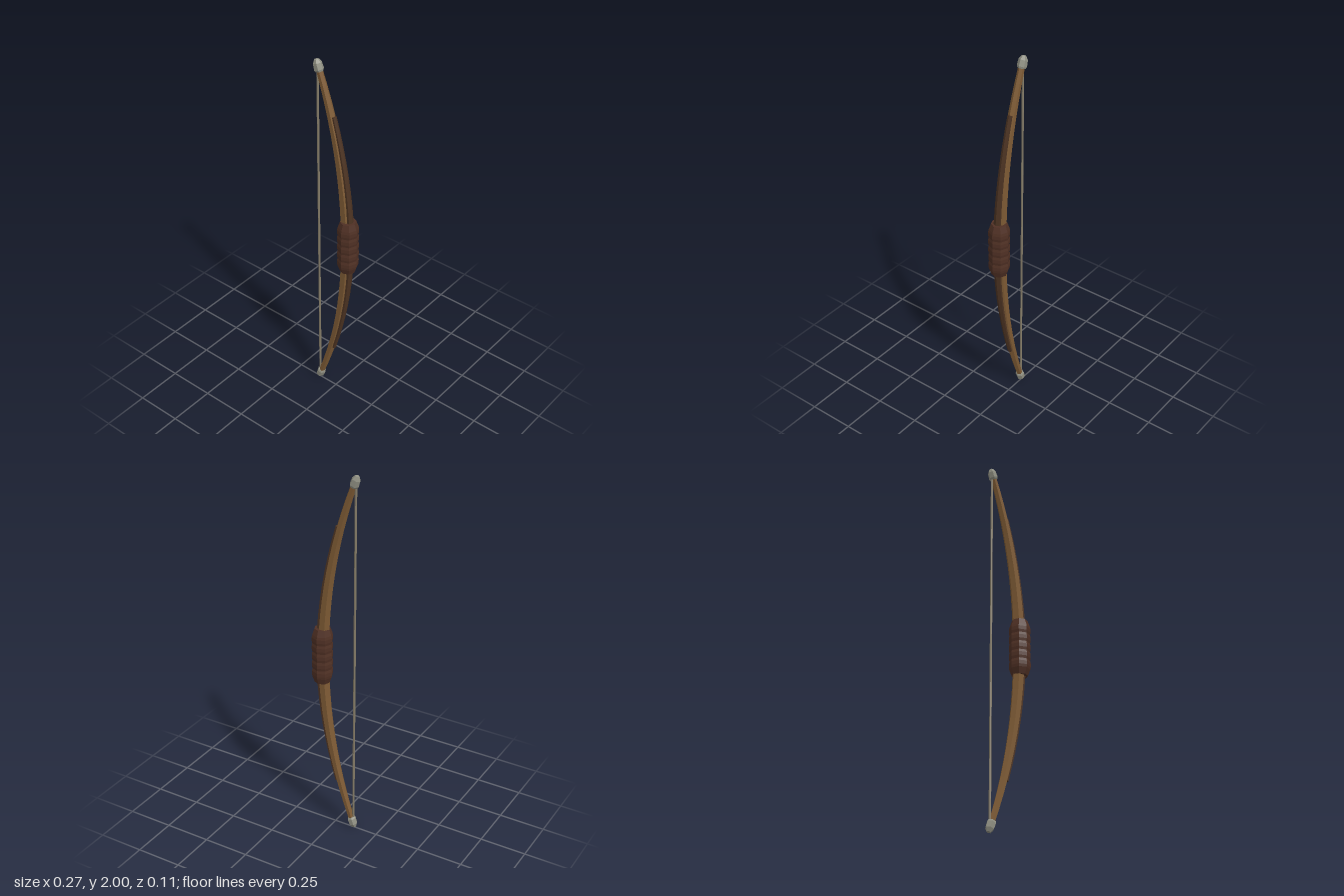
import * as THREE from 'three';

const paint = (color) => new THREE.MeshStandardMaterial({ color, flatShading: true });

// Curve of the bow, u = height above the grip centre
const TIP = 0.95;
const bowX = (u) => 0.071 - 0.19 * u * u;
const limbRadius = (u) => 0.032 - 0.016 * Math.pow(Math.abs(u) / TIP, 1.3);

// Sweep a polygon section along the bow; section(u) gives { offset, rx, rz }
function sweepAlongBow(u0, u1, steps, sides, section) {
  const pos = [], idx = [];
  for (let i = 0; i <= steps; i++) {
    const u = u0 + ((u1 - u0) * i) / steps;
    const normal = new THREE.Vector2(1, 0.38 * u).normalize();
    const { offset, rx, rz } = section(u);
    for (let j = 0; j < sides; j++) {
      const a = (j / sides) * Math.PI * 2;
      const d = offset + rx * Math.cos(a);
      pos.push(bowX(u) + normal.x * d, 1 + u + normal.y * d, rz * Math.sin(a));
    }
  }
  for (let i = 0; i < steps; i++) {
    for (let j = 0; j < sides; j++) {
      const k = (j + 1) % sides;
      const a = i * sides + j, b = i * sides + k;
      idx.push(a, a + sides, b, b, a + sides, b + sides);
    }
  }
  // End caps
  const top = steps * sides;
  for (let j = 1; j < sides - 1; j++) idx.push(0, j, j + 1, top, top + j + 1, top + j);
  const geo = new THREE.BufferGeometry();
  geo.setAttribute('position', new THREE.Float32BufferAttribute(pos, 3));
  geo.setIndex(idx);
  geo.computeVertexNormals();
  return geo;
}

export function createModel() {
  const bow = new THREE.Group();
  bow.name = 'bow';
  const add = (name, geo, material) => {
    const mesh = new THREE.Mesh(geo, material);
    mesh.name = name;
    bow.add(mesh);
    return mesh;
  };
  const wood = paint(0x7d5a34), darkWood = paint(0x4c3322);
  const leather = paint(0x4f3024), horn = paint(0x8f8f82), cord = paint(0x857c68);

  // Tapered hexagonal limbs
  add('limbs', sweepAlongBow(-TIP, TIP, 24, 6, (u) => {
    const r = limbRadius(u);
    return { offset: 0, rx: r, rz: r };
  }), wood);

  // Dark backing strip on the outer side
  add('backingStrip', sweepAlongBow(-0.72, 0.72, 18, 6, (u) => {
    const t = Math.abs(u) / 0.72;
    return { offset: limbRadius(u) * 0.8, rx: 0.016 - 0.005 * t, rz: 0.023 - 0.009 * t };
  }), darkWood);

  // Octagonal leather grip with wrapped ridges
  const profile = [[0, -0.153], [0.041, -0.153], [0.053, -0.12]];
  const wraps = 5, pitch = 0.24 / wraps;
  for (let i = 0; i < wraps; i++) {
    const y = -0.12 + i * pitch;
    profile.push([0.0555, y + pitch * 0.3], [0.0555, y + pitch * 0.7], [0.0525, y + pitch]);
  }
  profile.push([0.041, 0.153], [0, 0.153]);
  const grip = add('grip', new THREE.LatheGeometry(profile.map(([r, y]) => new THREE.Vector2(r, y)), 8), leather);
  grip.position.set(0.078, 1.003, 0);

  // Horn nocks, mirrored top and bottom
  const nockProfile = [[0, -0.03], [0.02, -0.03], [0.0245, -0.02], [0.0225, 0.012], [0.011, 0.031], [0, 0.031]]
    .map(([r, y]) => new THREE.Vector2(r, y));
  for (const s of [1, -1]) {
    const geo = new THREE.LatheGeometry(nockProfile, 6);
    geo.rotateY(Math.PI / 6);
    const nock = add(s > 0 ? 'upperNock' : 'lowerNock', geo, horn);
    nock.position.set(-0.107, 1 + s * 0.967, 0);
    nock.rotation.z = s > 0 ? 0.34 : Math.PI - 0.34;
  }

  // Bowstring
  const string = add('bowstring', new THREE.CylinderGeometry(0.006, 0.006, 1.93, 6), cord);
  string.position.set(-0.11, 1, 0);

  return bow;
}
